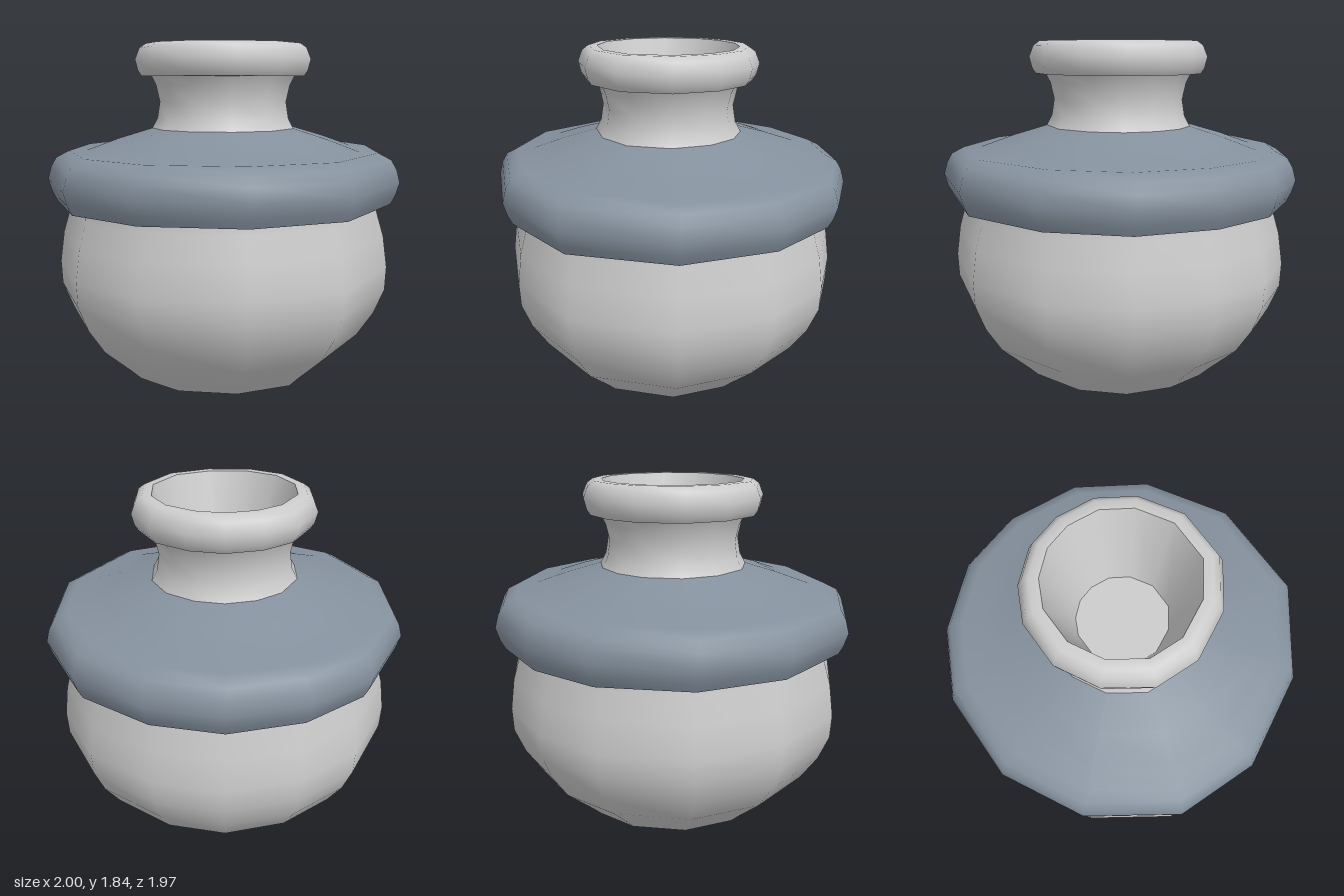
import * as THREE from 'three';

const clay = new THREE.MeshStandardMaterial({ color: 0xcccccc });
clay.name = 'pale clay';
const slate = new THREE.MeshStandardMaterial({ color: 0x85919e });
slate.name = 'slate blue glaze';

// Uneven hand-cut spokes around the pot: [angle in degrees, radius factor]
const SPOKES = [
  [0, 0.99], [33.8, 0.988], [64.2, 0.988], [90, 1], [115, 0.993], [137, 0.998], [160.5, 0.988],
  [183.5, 0.985], [212.9, 0.98], [240.8, 0.985], [270, 1], [296.3, 0.975], [329, 0.955], [360, 0.99],
];

// Lathe whose even columns are turned onto the uneven spokes; normals turn along
function turned(profile) {
  const n = SPOKES.length - 1;
  const geometry = new THREE.LatheGeometry(profile.map(([r, y]) => new THREE.Vector2(r, y)), n);
  const { position, normal } = geometry.attributes;
  const up = new THREE.Vector3(0, 1, 0);
  const v = new THREE.Vector3();
  for (let i = 0; i <= n; i++) {
    const [deg, scale] = SPOKES[i];
    const turn = THREE.MathUtils.degToRad(deg) - (i / n) * Math.PI * 2;
    for (let j = 0; j < profile.length; j++) {
      const k = i * profile.length + j;
      v.fromBufferAttribute(position, k).applyAxisAngle(up, turn);
      position.setXYZ(k, v.x * scale, v.y, v.z * scale);
      v.fromBufferAttribute(normal, k).applyAxisAngle(up, turn);
      normal.setXYZ(k, v.x, v.y, v.z);
    }
  }
  return geometry;
}

export function createModel() {
  const pot = new THREE.Group();
  pot.name = 'pot';
  const add = (name, material, profile) => {
    const mesh = new THREE.Mesh(turned(profile), material);
    mesh.name = name;
    pot.add(mesh);
  };

  // Round belly on a flat foot
  add('foot', clay, [[0, 0], [0.58, 0.01]]);
  add('belly', clay, [
    [0.58, 0.01], [0.64, 0.07], [0.8, 0.22], [0.89, 0.36], [0.945, 0.5],
    [0.95, 0.63], [0.925, 0.8], [0.885, 0.93], [0.88, 1.0],
  ]);

  // Overhanging shoulder
  add('shoulderUnderside', slate, [[0.87, 0.98], [0.955, 0.98]]);
  add('shoulder', slate, [
    [0.955, 0.98], [0.98, 1.03], [1.0, 1.1], [0.98, 1.17], [0.95, 1.22],
    [0.88, 1.255], [0.78, 1.257], [0.6, 1.32], [0.41, 1.375],
  ]);

  // Waisted neck and rolled rim
  add('neck', clay, [[0.41, 1.375], [0.38, 1.43], [0.365, 1.52], [0.385, 1.61], [0.41, 1.66]]);
  add('rimUnderside', clay, [[0.4, 1.66], [0.465, 1.66]]);
  add('rim', clay, [[0.465, 1.66], [0.485, 1.69], [0.5, 1.75], [0.475, 1.81], [0.44, 1.835], [0.39, 1.835]]);

  // Hollow mouth tapering to a flat floor
  add('mouthWall', clay, [[0.39, 1.835], [0.25, 1.38]]);
  add('mouthFloor', clay, [[0.25, 1.38], [0, 1.38]]);

  pot.position.z = -0.01;
  return pot;
}
